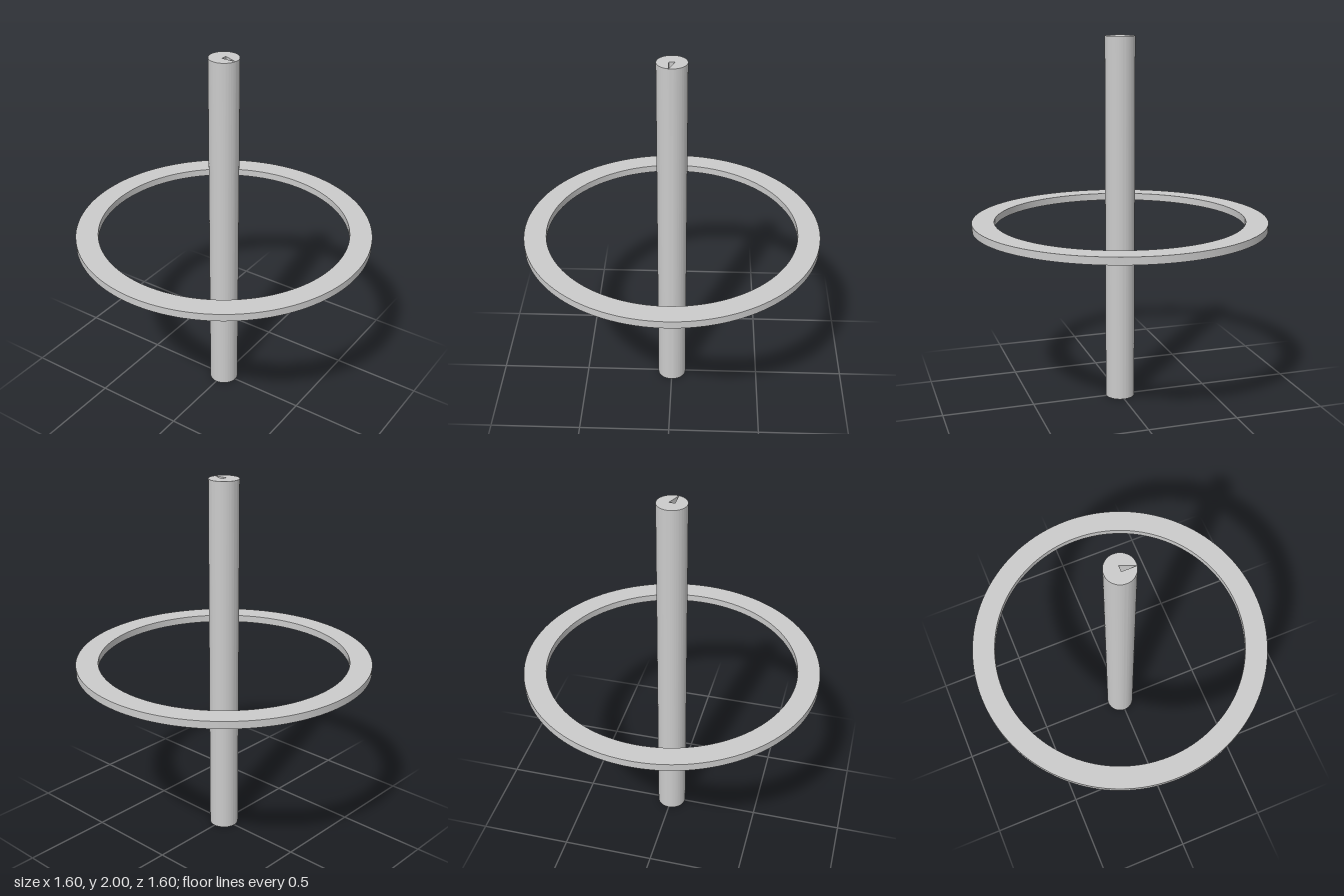
import * as THREE from 'three';
import { toCreasedNormals } from 'three/addons/utils/BufferGeometryUtils.js';

const grey = new THREE.MeshStandardMaterial({ color: 0xcccccc });
const white = new THREE.MeshStandardMaterial({ color: 0xffffff });

// Stands a flat outline up along y, from y0 to y1
function upright(name, shape, y0, y1, curveSegments, material) {
  const extruded = new THREE.ExtrudeGeometry(shape, { depth: y1 - y0, bevelEnabled: false, curveSegments });
  extruded.rotateX(-Math.PI / 2).translate(0, y0, 0);
  const mesh = new THREE.Mesh(toCreasedNormals(extruded, 0.5), material);
  mesh.name = name;
  return mesh;
}

// Piece of a flat ring between two angles
function ringSector(inner, outer, from, to) {
  const shape = new THREE.Shape();
  shape.absarc(0, 0, outer, from, to, false);
  shape.absarc(0, 0, inner, to, from, true);
  shape.closePath();
  return shape;
}

export function createModel() {
  const group = new THREE.Group();
  const full = Math.PI * 2;

  // Rod with a slot from its axis to its +x side, filled by a flush strip
  const radius = 0.08;
  const slot = Math.PI / 16;
  const half = radius * Math.sin(slot);
  const rod = new THREE.Shape();
  rod.absarc(0, 0, radius, slot, full - slot, false);
  rod.lineTo(0, -half);
  rod.lineTo(0, half);
  rod.closePath();
  const strip = new THREE.Shape();
  strip.moveTo(0, -half);
  strip.absarc(0, 0, radius, -slot, slot, false);
  strip.lineTo(0, half);
  strip.closePath();
  group.add(upright('rod', rod, 0, 2, 60, grey));
  group.add(upright('rodMarker', strip, 0, 2, 4, white));

  // Flat ring around the middle, with a short marked section on +x
  const mark = full / 64;
  group.add(upright('ring', ringSector(0.68, 0.8, mark, full - mark), 0.98, 1.02, 62, grey));
  group.add(upright('ringMarker', ringSector(0.68, 0.8, -mark, mark), 0.98, 1.02, 2, white));

  return group;
}
